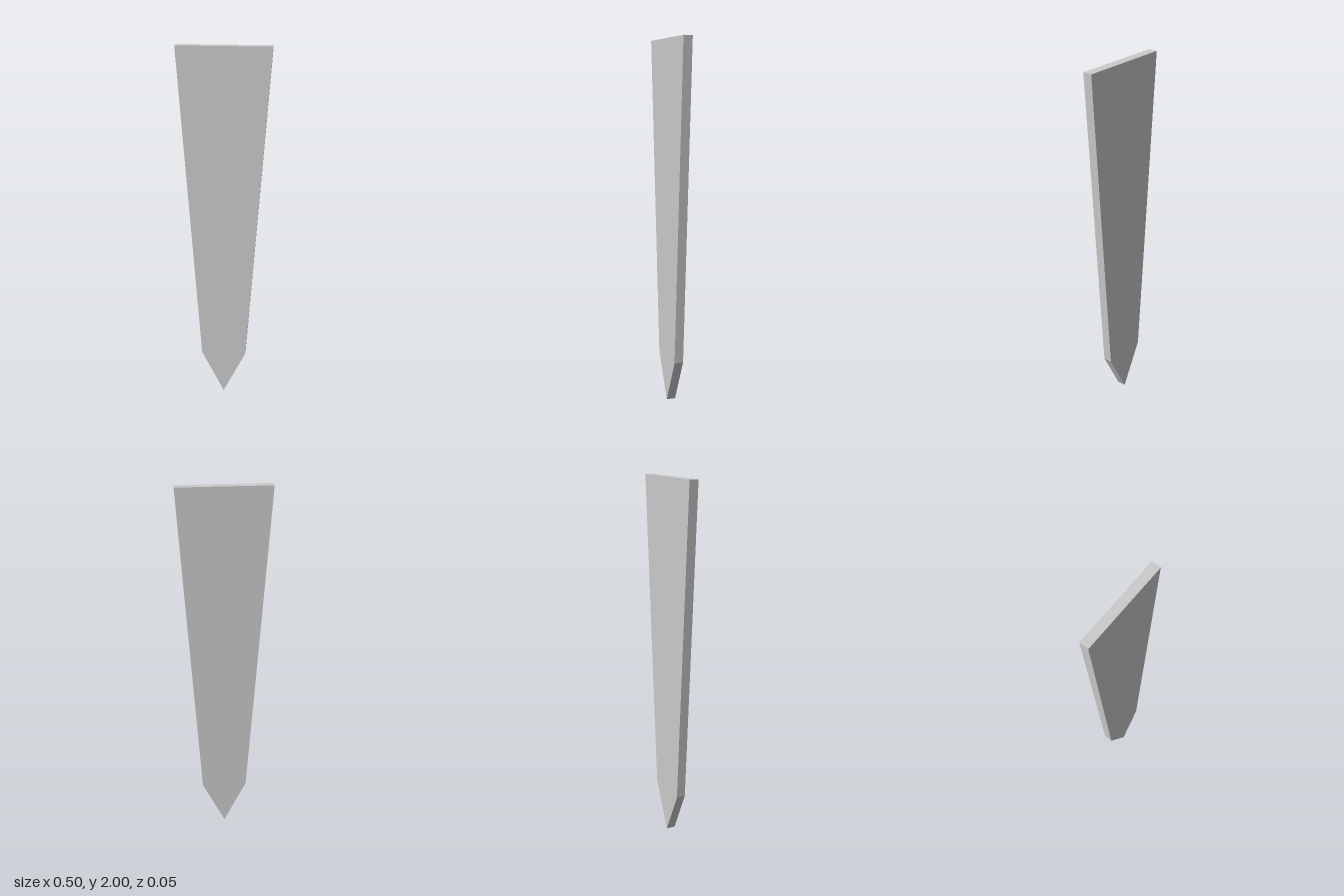
import * as THREE from 'three';

const THICKNESS = 0.05;

export function createModel() {
  const group = new THREE.Group();
  group.name = 'stake';

  // Tapered flat board with a pointed lower end
  const outline = new THREE.Shape([
    new THREE.Vector2(0, 0),
    new THREE.Vector2(0.125, 0.25),
    new THREE.Vector2(0.25, 2),
    new THREE.Vector2(-0.25, 2),
    new THREE.Vector2(-0.125, 0.25),
  ]);
  const geometry = new THREE.ExtrudeGeometry(outline, { depth: THICKNESS, bevelEnabled: false });
  geometry.translate(0, 0, -THICKNESS / 2);

  const board = new THREE.Mesh(
    geometry,
    new THREE.MeshStandardMaterial({ color: 0xcccccc, flatShading: true })
  );
  board.name = 'pointedBoard';
  group.add(board);

  return group;
}
